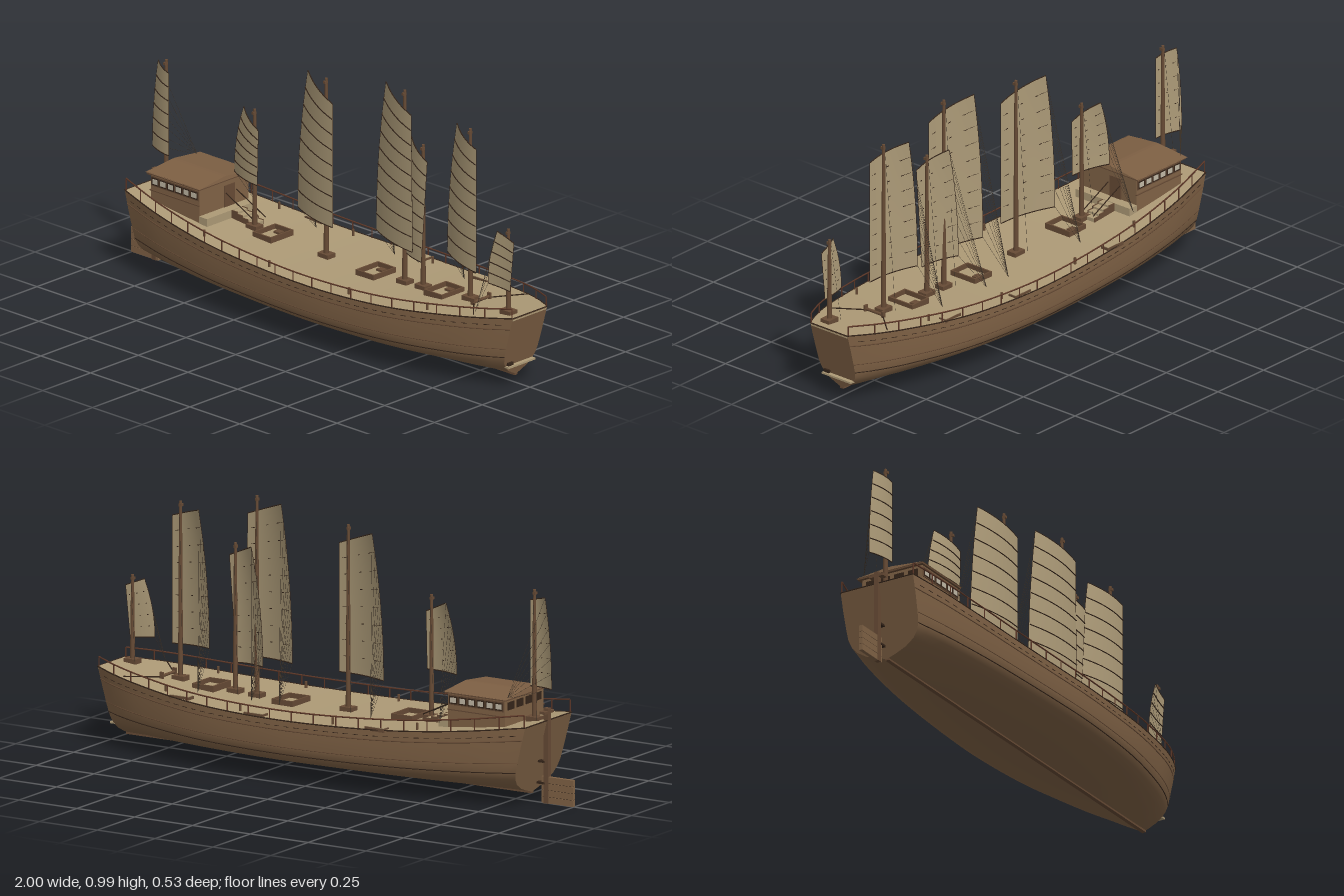
import * as THREE from 'three';

const mat = (name, color, side = THREE.FrontSide) => {
  const m = new THREE.MeshStandardMaterial({ color, side });
  m.name = name;
  return m;
};
const V = (x, y, z) => new THREE.Vector3(x, y, z);
const lerp = THREE.MathUtils.lerp;

// Piecewise smooth curve through [x, value] points
const curveFn = (pts) => (x) => {
  const n = pts.length - 1;
  let i = 0;
  while (i < n - 1 && x > pts[i + 1][0]) i++;
  const slope = (k) => {
    const a = pts[Math.max(k - 1, 0)], b = pts[Math.min(k + 1, n)];
    return (b[1] - a[1]) / (b[0] - a[0]);
  };
  const [x0, y0] = pts[i], [x1, y1] = pts[i + 1], h = x1 - x0;
  const t = THREE.MathUtils.clamp((x - x0) / h, 0, 1), t2 = t * t, t3 = t2 * t;
  return (2 * t3 - 3 * t2 + 1) * y0 + (t3 - 2 * t2 + t) * h * slope(i)
    + (3 * t2 - 2 * t3) * y1 + (t3 - t2) * h * slope(i + 1);
};
const halfWidth = curveFn([[-0.89, 0.155], [-0.7, 0.197], [-0.4, 0.236], [0.05, 0.26], [0.3, 0.254],
  [0.55, 0.228], [0.8, 0.172], [0.93, 0.126], [1, 0.09]]);
const sheer = curveFn([[-0.89, 0.31], [-0.6, 0.272], [-0.3, 0.246], [0.1, 0.235], [0.5, 0.245], [1, 0.29]]);
const PROFILE = [[0, 0], [0.015, 0.1], [0.05, 0.3], [0.1, 0.55], [0.18, 0.78], [0.26, 0.9], [0.36, 0.965],
  [0.5, 0.985], [0.75, 1], [1, 1]];
const fullness = curveFn(PROFILE);
const KEEL = 0.035;

// Point on the hull skin: x station at deck level, t = 0 keel to 1 rim, side = +1 or -1
function hullPoint(x, t, side, out = 0) {
  const u = (x + 0.89) / 1.89, rake = 0.07 * (1 - t);
  return V(lerp(-0.89 + rake, 1 - rake, u), lerp(KEEL, sheer(x), t), side * (halfWidth(x) * fullness(t) + out));
}

function geometry(points, index) {
  const g = new THREE.BufferGeometry();
  g.setAttribute('position', new THREE.Float32BufferAttribute(points.flatMap((p) => p.toArray()), 3));
  g.setIndex(index);
  g.computeVertexNormals();
  return g;
}

// Grid surface from fn(i, j), facing dj x di
function grid(ni, nj, fn) {
  const pts = [], idx = [];
  for (let i = 0; i <= ni; i++) for (let j = 0; j <= nj; j++) {
    pts.push(fn(i, j));
    if (i < ni && j < nj) {
      const a = i * (nj + 1) + j, c = a + nj + 1;
      idx.push(a, a + 1, c, a + 1, c + 1, c);
    }
  }
  return geometry(pts, idx);
}

export function createModel() {
  const M = {
    hull: mat('hull wood', 0x816346), deck: mat('deck planks', 0xad9a76),
    sail: mat('sail matting', 0xae9c79, THREE.DoubleSide), dark: mat('dark trim', 0x35251a),
    rail: mat('rail wood', 0x5e3828), spar: mat('spar wood', 0x674b35), roof: mat('roof wood', 0x7d5f43),
    rope: mat('rope', 0x40352a), paper: mat('window paper', 0xc4bba8),
  };
  const root = new THREE.Group();
  const add = (name, geo, m, parent = root) => {
    const mesh = new THREE.Mesh(geo, m);
    mesh.name = name;
    parent.add(mesh);
    return mesh;
  };
  const box = (name, m, x0, x1, y0, y1, z0, z1, parent) => {
    const b = add(name, new THREE.BoxGeometry(x1 - x0, y1 - y0, z1 - z0), m, parent);
    b.position.set((x0 + x1) / 2, (y0 + y1) / 2, (z0 + z1) / 2);
    return b;
  };
  const rod = (name, a, b, r, m, parent, r2 = r, sides = 5) => {
    const c = add(name, new THREE.CylinderGeometry(r2, r, a.distanceTo(b), sides), m, parent);
    c.position.copy(a).lerp(b, 0.5);
    c.quaternion.setFromUnitVectors(V(0, 1, 0), b.clone().sub(a).normalize());
    return c;
  };
  const tube = (name, pts, r, m, parent) =>
    add(name, new THREE.TubeGeometry(new THREE.CatmullRomCurve3(pts), pts.length * 2, r, 5), m, parent);

  // Hull skin, end boards and deck
  const N = 40, half = PROFILE.map((p) => p[0]);
  const ring = [...half.slice(1).reverse().map((t) => [t, 1]), ...half.map((t) => [t, -1])];
  const station = (i) => -0.89 + 1.89 * i / N;
  add('hull', grid(N, ring.length - 1, (i, j) => hullPoint(station(i), ...ring[j])), M.hull);
  for (const [name, x, flip] of [['sternBoard', -0.89, true], ['bowBoard', 1, false]]) {
    const pts = ring.map(([t, s]) => hullPoint(x, t, s)), n = pts.length, idx = [];
    pts.push(hullPoint(x, 0.6, 0).setZ(0));
    for (let j = 0; j < n; j++) {
      const k = (j + 1) % n;
      idx.push(n, flip ? k : j, flip ? j : k);
    }
    add(name, geometry(pts, idx), M.hull);
  }
  add('deck', grid(N, 1, (i, j) => hullPoint(station(i), 1, j ? 1 : -1)), M.deck);
  box('keel', M.spar, -0.82, 0.93, 0.03, 0.042, -0.008, 0.008);
  box('bowBar', M.deck, 0.935, 0.96, 0.078, 0.085, -0.07, 0.07);
  box('bowCleat', M.dark, 0.935, 0.955, 0.086, 0.098, 0.04, 0.065);
  box('bowStrip', M.deck, 0.985, 0.999, 0.279, 0.284, -0.088, 0.088);
  rod('bowSill', hullPoint(1, 1, 1), hullPoint(1, 1, -1), 0.002, M.dark);
  rod('sternSill', hullPoint(-0.89, 1, 1), hullPoint(-0.89, 1, -1), 0.0025, M.dark);

  // Wales, scupper dashes and open railing on both sides
  const railTop = (x, s) => hullPoint(x, 1, s).add(V(0, 0.036 + 0.012 * Math.max(0, -x), -s * 0.003));
  for (const s of [1, -1]) {
    for (const [t, r, m] of [[1, 0.0025, M.dark], [0.82, 0.0025, M.spar], [0.5, 0.0018, M.spar], [0.36, 0.002, M.dark]]) {
      const pts = [];
      for (let i = 0; i <= 24; i++) pts.push(hullPoint(-0.89 + 1.89 * i / 24, t, s));
      tube('wale', pts, r, m);
    }
    for (let i = 0; i < 44; i++) {
      const x = -0.86 + i * 0.042;
      rod('scupper', hullPoint(x, 0.89, s), hullPoint(x + 0.022, 0.89, s), 0.0013, M.dark);
    }
    const top = [];
    for (let i = 0; i <= 20; i++) {
      const x = -0.885 + 1.88 * i / 20;
      top.push(railTop(x, s));
      rod('railPost', hullPoint(x, 1, s, -0.003), railTop(x, s), 0.0025, M.rail);
    }
    tube('handRail', top, 0.003, M.rail);
    for (const x of [-0.45, -0.1, 0.3, 0.65]) {
      const p = hullPoint(x, 1, s, -0.035);
      rod('bollard', p, p.clone().add(V(0, 0.025, 0)), 0.005, M.spar, root, 0.005, 8);
    }
  }

  // Rudder
  const rudder = new THREE.Group();
  rudder.name = 'rudder';
  root.add(rudder);
  box('rudderPost', M.spar, -0.895, -0.875, 0, 0.355, -0.009, 0.009, rudder);
  for (let i = 0; i < 4; i++) {
    box('rudderPlank', M.hull, -1, -0.865, i * 0.025 + 0.001, i * 0.025 + 0.0245, -0.007, 0.007, rudder);
  }
  box('rudderCore', M.dark, -0.998, -0.866, 0.003, 0.097, -0.0055, 0.0055, rudder);
  box('rudderBeam', M.spar, -0.895, -0.87, 0.335, 0.345, -0.03, 0.03, rudder);
  for (const y of [0.07, 0.15]) box('rudderHinge', M.dark, -0.878, -0.845, y, y + 0.008, -0.009, 0.009, rudder);

  // Deck house
  const house = new THREE.Group();
  house.name = 'deckHouse';
  root.add(house);
  box('houseWalls', M.hull, -0.785, -0.54, 0.255, 0.397, -0.128, 0.128, house);
  box('housePorch', M.deck, -0.54, -0.5, 0.25, 0.292, -0.13, 0.13, house);
  box('houseEaves', M.spar, -0.797, -0.533, 0.394, 0.4, -0.142, 0.137, house);
  const gable = new THREE.BoxGeometry(0.27, 0.015, 0.286), pp = gable.attributes.position;
  for (let i = 0; i < pp.count; i++) if (pp.getY(i) > 0) pp.setXYZ(i, pp.getX(i) * 0.97, pp.getY(i), pp.getZ(i) * 0.05);
  gable.computeVertexNormals();
  add('houseRoof', gable, M.roof, house).position.set(-0.665, 0.407, -0.003);
  for (const s of [1, -1]) {
    const z = s * 0.129;
    box('windowBand', M.spar, -0.782, -0.543, 0.35, 0.388, z - 0.002, z + 0.002, house);
    for (let i = 0; i < 6; i++) {
      const x = -0.775 + i * 0.039;
      box('windowFrame', M.dark, x - 0.002, x + 0.033, 0.354, 0.383, z - 0.003, z + 0.003, house);
      box('windowPane', M.paper, x + 0.003, x + 0.028, 0.359, 0.378, z - 0.004, z + 0.004, house);
    }
    box('houseSill', M.spar, -0.787, -0.538, 0.33, 0.334, z - 0.003, z + 0.003, house);
    rod('stairRail', V(-0.53, 0.35, -0.028 + s * 0.028), V(-0.385, 0.28, -0.028 + s * 0.028), 0.0022, M.dark);
  }
  for (let i = 0; i < 4; i++) {
    box('sternWindow', M.dark, -0.788, -0.784, 0.354, 0.383, -0.11 + i * 0.06, -0.07 + i * 0.06, house);
  }
  box('houseDoor', M.spar, -0.541, -0.537, 0.292, 0.375, -0.055, 0, house);
  for (let i = 0; i < 4; i++) {
    box('stairStep', M.deck, -0.5 + i * 0.027, -0.473 + i * 0.027, 0.24, 0.29 - i * 0.008, -0.053, -0.003);
    for (const z of [-0.057, -0.003]) {
      box('stairString', M.spar, -0.5 + i * 0.027, -0.473 + i * 0.027, 0.24, 0.292 - i * 0.008, z, z + 0.004);
    }
  }

  // Hatches with open coamings, and small side lockers
  for (const [x, lz] of [[-0.295, -0.228], [0.222, -0.237], [0.565, -0.202]]) {
    const y = sheer(x) - 0.006, h = y + 0.026;
    for (const s of [1, -1]) {
      const ex = x + s * 0.043, ez = s * 0.056 - 0.002;
      box('hatchEnd', M.spar, ex - 0.003, ex + 0.003, y, h, -0.061, 0.057);
      box('hatchSide', M.spar, x - 0.046, x + 0.046, y, h, ez - 0.003, ez + 0.003);
    }
    box('hatchCover', M.deck, x - 0.04, x + 0.04, y, y + 0.008, -0.056, 0.052);
    box('hatchGrip', M.spar, x - 0.015, x + 0.015, y, y + 0.016, -0.045, -0.02);
    box('sideLocker', M.spar, x - 0.042, x + 0.042, y, y + 0.014, lz - 0.017, lz + 0.017);
    box('sideLockerLid', M.deck, x - 0.039, x + 0.039, y + 0.01, y + 0.016, lz - 0.014, lz + 0.014);
  }

  // Windlass and bow beams
  rod('windlass', V(0.752, 0.275, -0.05), V(0.752, 0.275, 0.045), 0.006, M.spar, root, 0.006, 8);
  for (const z of [-0.045, 0.04]) box('windlassPost', M.spar, 0.744, 0.76, 0.25, 0.29, z - 0.004, z + 0.004);
  rod('bowBeam', V(0.755, 0.272, -0.045), V(0.85, 0.282, -0.15), 0.0025, M.dark);
  rod('bowBeam', V(0.755, 0.272, 0.04), V(0.85, 0.282, 0.14), 0.0025, M.dark);

  // Masts with battened sails: mast [x, top, z], corners BL TL TR BR, leech z, luff z, battens, sheet anchor
  const rigs = [
    [[-0.83, 0.79, 0], [-0.915, 0.43, -0.887, 0.767, -0.805, 0.745, -0.805, 0.425], -0.017, 0.012, 5, [-0.79, 0.4, -0.12]],
    [[-0.385, 0.715, 0], [-0.51, 0.435, -0.463, 0.697, -0.35, 0.645, -0.355, 0.43], -0.024, 0.018, 5, [-0.51, 0.28, -0.14]],
    [[-0.025, 0.93, 0], [-0.2, 0.375, -0.15, 0.917, 0.03, 0.85, 0.03, 0.37], -0.034, 0.024, 7, [-0.215, 0.26, -0.145]],
    [[0.37, 0.988, 0], [0.195, 0.39, 0.243, 0.977, 0.425, 0.91, 0.432, 0.38], -0.034, 0.024, 8, [0.18, 0.26, -0.145]],
    [[0.463, 0.8, 0], [0.325, 0.36, 0.375, 0.8, 0.5, 0.747, 0.47, 0.35], -0.03, 0.018, 6, [0.3, 0.26, -0.145]],
    [[0.7, 0.925, 0], [0.553, 0.4, 0.6, 0.91, 0.75, 0.862, 0.75, 0.385], -0.034, 0.022, 7, [0.535, 0.26, -0.14]],
    [[0.94, 0.612, 0.05], [0.855, 0.385, 0.9, 0.597, 0.975, 0.567, 0.955, 0.375], 0.018, 0.008, 4, [0.85, 0.29, 0.13]],
  ];
  for (const [[mx, top, mz], c, zl, zr, n, anchor] of rigs) {
    const rig = new THREE.Group();
    rig.name = 'mastAndSail';
    root.add(rig);
    const base = sheer(mx);
    rod('mast', V(mx, base - 0.02, mz), V(mx, top, mz), 0.01, M.spar, rig, 0.0055, 10);
    box('mastStep', M.spar, mx - 0.026, mx + 0.026, base - 0.01, base + 0.016, mz - 0.02, mz + 0.02, rig);
    box('mastHead', M.spar, mx - 0.005, mx + 0.005, top - 0.02, top - 0.01, mz - 0.005, mz + 0.011, rig);
    const at = (s, v, dz = 0) => V(
      lerp(lerp(c[0], c[2], v * v), lerp(c[6], c[4], v), s),
      lerp(lerp(c[1], c[3], v), lerp(c[7], c[5], v), s),
      mz + zl + (zr - zl) * (1 - (1 - s) ** 2) + dz);
    const row = (v, dz) => [0, 0.25, 0.5, 0.75, 1].map((s) => at(s, v, dz));
    const col = (s) => [0, 0.2, 0.4, 0.6, 0.8, 1].map((v) => at(s, v));
    add('sail', grid(10, 12, (i, j) => at(i / 10, 1 - j / 12)), M.sail, rig);
    tube('leechRope', col(0), 0.001, M.dark, rig);
    tube('luffRope', col(1), 0.001, M.dark, rig);
    for (let k = 0; k <= n + 1; k++) {
      const v = k / (n + 1), edge = k === 0 || k > n;
      tube(edge ? 'yard' : 'batten', row(v, edge ? 0 : 0.0022), edge ? 0.002 : 0.0021, M.dark, rig);
      rod('sheet', at(0, v), V(...anchor), 0.0006, M.rope, rig, 0.0006, 3);
      if (!edge) for (const s of [0.2, 0.5, 0.85]) {
        rod('battenTie', at(s - 0.025, v, -0.001), at(s + 0.025, v, -0.001), 0.0015, M.dark, rig);
      }
    }
    rod('halyard', V(mx, top - 0.02, mz - 0.008), V(mx - 0.03, base, mz - 0.03), 0.0006, M.rope, rig, 0.0006, 3);
  }
  return root;
}
